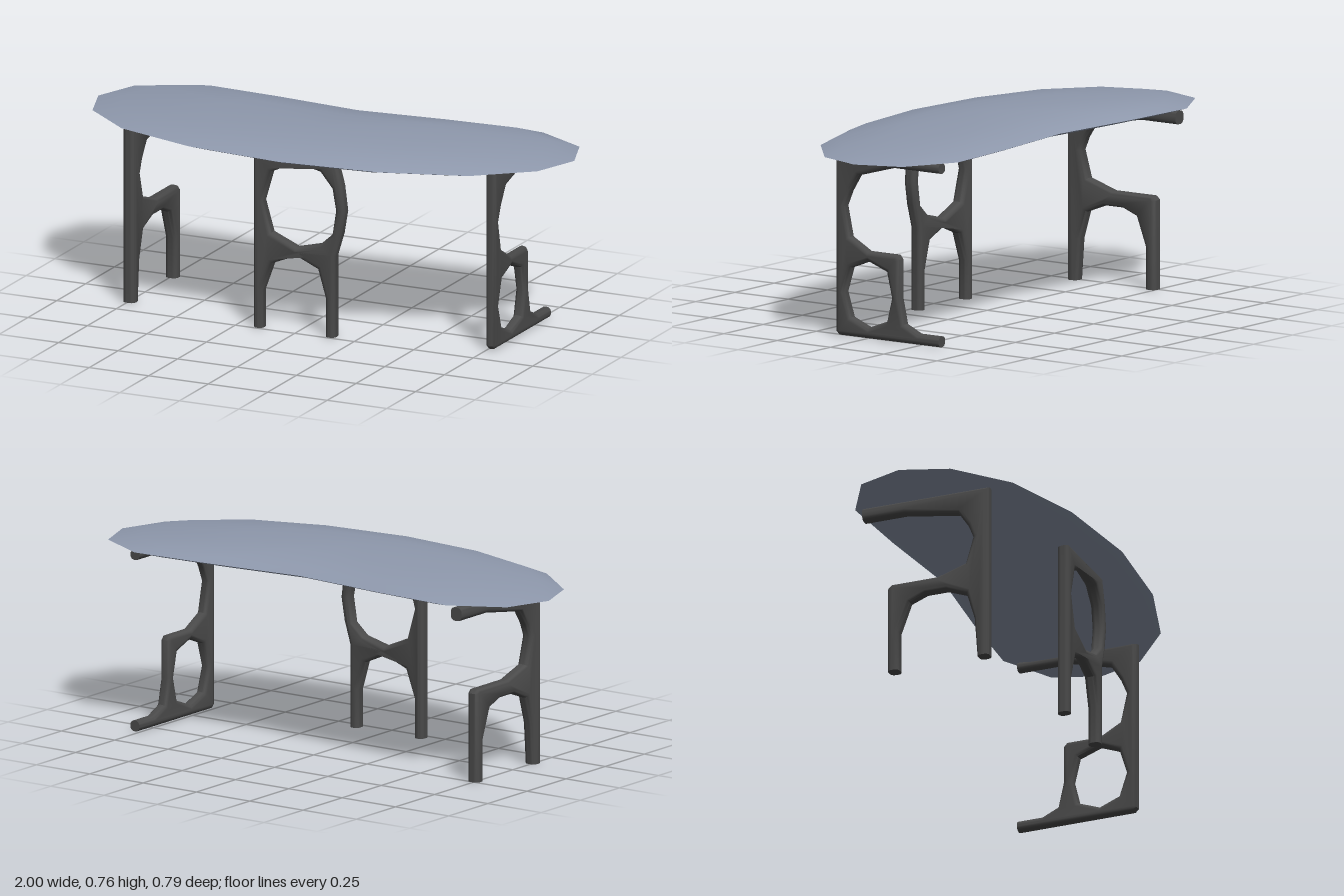
import * as THREE from 'three';
import { toCreasedNormals } from 'three/addons/utils/BufferGeometryUtils.js';

const topMaterial = new THREE.MeshStandardMaterial({ color: 0x8f99ad });
const legMaterial = new THREE.MeshStandardMaterial({ color: 0x4a4a4a });

const toPoints = (list) => list.map(([x, y]) => new THREE.Vector2(x, y));

// Flat frame with rounded bars; cut ends are clamped so they stay square
function frame(name, outline, holes, thick, { minY = -1, maxX = 1 } = {}) {
  const round = 0.018;
  const shape = new THREE.Shape(toPoints(outline));
  shape.holes = holes.map((h) => new THREE.Path(toPoints(h)));
  const geo = new THREE.ExtrudeGeometry(shape, {
    depth: thick - 2 * round,
    bevelThickness: round,
    bevelSize: round,
    bevelOffset: -round,
    bevelSegments: 4,
  });
  geo.translate(0, 0, round - thick / 2);
  const p = geo.attributes.position;
  for (let i = 0; i < p.count; i++) {
    p.setX(i, Math.min(p.getX(i), maxX));
    p.setY(i, Math.max(p.getY(i), minY));
  }
  const mesh = new THREE.Mesh(toCreasedNormals(geo, 0.75), legMaterial);
  mesh.name = name;
  return mesh;
}

// Kidney-shaped top: scaled copies of half an outline, mirrored in x
function tableTop() {
  const half = [
    [0, -0.34], [0.4, -0.38], [0.73, -0.4], [0.935, -0.29], [1, -0.11],
    [0.935, 0.075], [0.73, 0.245], [0.4, 0.35], [0, 0.39],
  ];
  const outline = [...half, ...half.slice(1, -1).reverse().map(([x, z]) => [-x, z])];
  const rings = [
    [0, 0.69], [0.5, 0.691], [0.88, 0.697], [1, 0.713],
    [0.88, 0.735], [0.5, 0.755], [0, 0.765],
  ];
  const midZ = 0.03;
  const n = outline.length;
  const pos = [];
  const index = [];
  rings.forEach(([s, y], r) => {
    outline.forEach(([x, z], i) => {
      pos.push(x * s, y, midZ + (z - midZ) * s);
      if (r === rings.length - 1) return;
      const a = r * n + i;
      const b = r * n + ((i + 1) % n);
      if (s > 0) index.push(a, a + n, b);
      if (rings[r + 1][0] > 0) index.push(a + n, b + n, b);
    });
  });
  const geo = new THREE.BufferGeometry();
  geo.setAttribute('position', new THREE.Float32BufferAttribute(pos, 3));
  geo.setIndex(index);
  const mesh = new THREE.Mesh(toCreasedNormals(geo, 0.6), topMaterial);
  mesh.name = 'tableTop';
  return mesh;
}

export function createModel() {
  const group = new THREE.Group();
  group.name = 'table';
  group.add(tableTop());

  // Middle frame: closed loop over two feet, bulging to one side
  const middle = frame('middleLeg', [
    [-0.18, -0.02], [-0.14, -0.02], [-0.14, 0.15], [-0.1, 0.26], [0, 0.3],
    [0.09, 0.26], [0.122, 0.15], [0.122, -0.02], [0.163, -0.02], [0.163, 0.32],
    [0.19, 0.41], [0.205, 0.5], [0.192, 0.6], [0.165, 0.7], [-0.18, 0.7],
  ], [[
    [-0.14, 0.5], [-0.105, 0.62], [0, 0.668], [0.1, 0.645], [0.15, 0.585],
    [0.165, 0.5], [0.15, 0.405], [0.1, 0.36], [0, 0.335], [-0.105, 0.38],
  ]], 0.05, { minY: 0 });
  middle.position.z = 0.22;
  group.add(middle);

  // Left frame: loop at the bottom with a long foot and a top arm
  const left = frame('leftLeg', [
    [-0.138, 0.017], [-0.124, 0.003], [0.37, 0.003], [0.37, 0.045], [0.25, 0.045],
    [0.185, 0.075], [0.163, 0.175], [0.163, 0.322], [0.149, 0.338], [0.015, 0.338],
    [-0.07, 0.385], [-0.095, 0.5], [-0.07, 0.56], [-0.03, 0.625], [0.13, 0.669],
    [0.37, 0.669], [0.37, 0.708], [-0.138, 0.708],
  ], [[
    [-0.095, 0.17], [-0.065, 0.267], [0.015, 0.298], [0.1, 0.267],
    [0.123, 0.17], [0.1, 0.077], [0.015, 0.045], [-0.065, 0.077],
  ]], 0.042, { maxX: 0.35 });
  left.rotation.y = Math.PI / 2;
  left.position.x = 0.765;
  group.add(left);

  // Right frame: tall front bar, arched back foot and a top arm
  const right = frame('rightLeg', [
    [-0.16, -0.02], [-0.112, -0.02], [-0.1, 0.16], [-0.068, 0.268], [0.015, 0.3],
    [0.1, 0.3], [0.165, 0.275], [0.208, 0.16], [0.208, -0.02], [0.255, -0.02],
    [0.255, 0.344], [0.239, 0.36], [0.05, 0.36], [-0.065, 0.397], [-0.095, 0.5],
    [-0.075, 0.55], [-0.035, 0.61], [0.185, 0.646], [0.375, 0.646], [0.375, 0.698],
    [-0.16, 0.698],
  ], [], 0.05, { minY: 0, maxX: 0.355 });
  right.rotation.y = Math.PI / 2;
  right.position.x = -0.745;
  group.add(right);

  return group;
}
